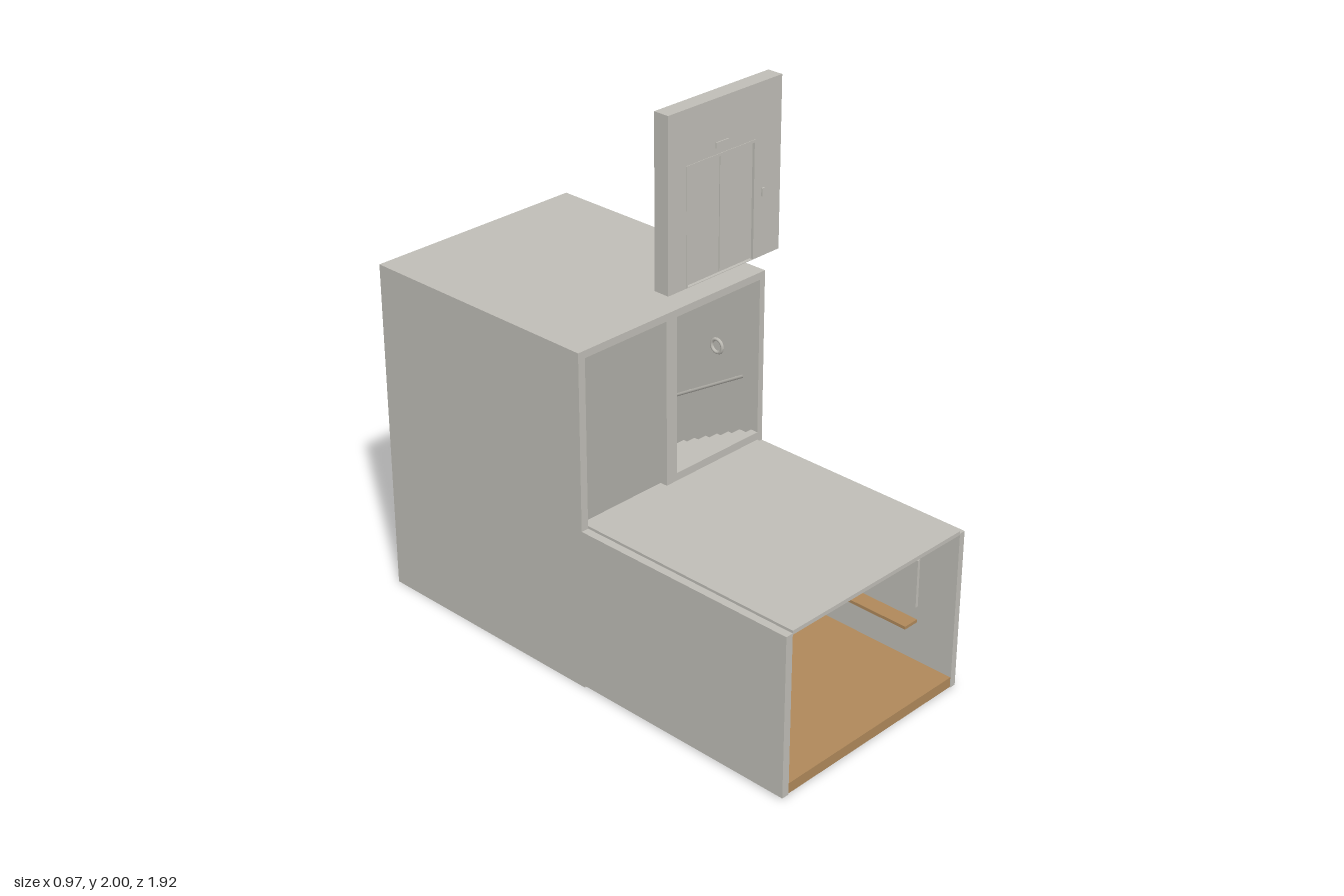
import * as THREE from 'three';

export function createModel() {
  const model = new THREE.Group();
  const plaster = new THREE.MeshStandardMaterial({ color: 0xc0beb7 });
  plaster.name = 'plasterGrey';
  const wood = new THREE.MeshStandardMaterial({ color: 0xb0895b });
  wood.name = 'woodBrown';

  // Box given by its extents along each axis
  const box = (name, [x0, x1], [y0, y1], [z0, z1], mat = plaster, parent = model) => {
    const m = new THREE.Mesh(new THREE.BoxGeometry(x1 - x0, y1 - y0, z1 - z0), mat);
    m.position.set((x0 + x1) / 2, (y0 + y1) / 2, (z0 + z1) / 2);
    m.name = name;
    parent.add(m);
    return m;
  };
  const rect = (P, [x0, x1], [y0, y1]) => {
    const p = new P();
    p.moveTo(x0, y0);
    p.lineTo(x1, y0);
    p.lineTo(x1, y1);
    p.lineTo(x0, y1);
    p.closePath();
    return p;
  };
  // Upright slab with rectangular openings
  const pierced = (name, xs, ys, [z0, z1], holes) => {
    const s = rect(THREE.Shape, xs, ys);
    holes.forEach(([hx, hy]) => s.holes.push(rect(THREE.Path, hx, hy)));
    const m = new THREE.Mesh(new THREE.ExtrudeGeometry(s, { depth: z1 - z0, bevelEnabled: false }), plaster);
    m.position.z = z0;
    m.name = name;
    model.add(m);
  };

  const inner = [-0.46, 0.385];
  const sides = [['right', [-0.49, -0.46]], ['left', [0.385, 0.41]]];

  // Side walls of the low hall and the tall stairwell
  sides.forEach(([side, xs]) => {
    box(side + 'HallWall', xs, [0.008, 0.63], [0.04, 0.96]);
    box(side + 'TowerWall', xs, [0, 1.27], [-0.93, 0.01]);
  });
  box('hallFloor', inner, [0.01, 0.05], [0.035, 0.958], wood);
  box('hallRoof', inner, [0.625, 0.64], [0.04, 0.96]);
  box('ceilingLamp', [-0.37, -0.26], [0.619, 0.625], [0.4, 0.6]);
  box('towerBackWall', [-0.49, 0.41], [0, 1.27], [-0.96, -0.93]);
  box('towerRoof', [-0.49, 0.41], [1.27, 1.3], [-0.96, 0.01]);
  pierced('towerFrontWall', [-0.49, 0.41], [0, 1.3], [0.01, 0.04], [
    [[-0.46, -0.08], [0.012, 0.625]],
    [[-0.46, -0.08], [0.64, 1.272]],
    [[-0.03, 0.385], [0.67, 1.272]],
  ]);
  box('stairPartition', [-0.08, -0.03], [0.01, 1.27], [-0.54, 0.01]);

  // Two stair flights joined by a landing
  const stairs = new THREE.Group();
  stairs.name = 'stairs';
  model.add(stairs);
  for (let i = 0; i < 10; i++) {
    const y = 0.05 + 0.03 * i;
    const z = 0.035 - 0.0585 * i;
    box('lowerStep', [-0.46, -0.08], [y, y + 0.03], [z - 0.0585, z], plaster, stairs);
    const w = -0.55 + 0.056 * i;
    box('upperStep', [-0.03, 0.385], [y + 0.3, y + 0.33], [w, w + 0.056], plaster, stairs);
  }
  box('landing', inner, [0.32, 0.35], [-0.93, -0.55], plaster, stairs);

  // Handrail with wall brackets and a wall ring above each flight
  const handrail = (name, x, wallX, y0, z0, y1, z1, ringY, ringZ) => {
    const g = new THREE.Group();
    g.name = name;
    const a = new THREE.Vector3(x, y0, z0);
    const b = new THREE.Vector3(x, y1, z1);
    const bar = new THREE.Mesh(new THREE.TubeGeometry(new THREE.LineCurve3(a, b), 1, 0.006, 8), plaster);
    bar.name = 'railBar';
    g.add(bar);
    [0.08, 0.5, 0.92].forEach((t) => {
      const p = a.clone().lerp(b, t);
      box('railBracket', [Math.min(x, wallX), Math.max(x, wallX)], [p.y - 0.004, p.y + 0.004],
        [p.z - 0.004, p.z + 0.004], plaster, g);
    });
    const ring = new THREE.Mesh(new THREE.TorusGeometry(0.026, 0.007, 6, 16), plaster);
    ring.rotation.y = Math.PI / 2;
    ring.position.set(x, ringY, ringZ);
    ring.name = 'wallRing';
    g.add(ring);
    model.add(g);
  };
  handrail('lowerHandrail', -0.448, -0.46, 0.24, 0.0, 0.56, -0.58, 0.555, -0.15);
  handrail('upperHandrail', 0.373, 0.385, 0.56, -0.56, 0.88, -0.02, 0.955, -0.15);

  // Wall bench in the hall
  box('benchSeat', [0.32, 0.385], [0.205, 0.217], [0.4, 0.8], wood);
  box('benchBack', [0.373, 0.385], [0.27, 0.46], [0.4, 0.8]);

  // Separate lift front with a pair of sliding doors
  pierced('liftWall', [-0.07, 0.48], [1.36, 2], [-0.025, 0.038], [[[0.02, 0.35], [1.362, 1.8]]]);
  box('rightLiftDoor', [0.02, 0.183], [1.365, 1.795], [0.012, 0.03]);
  box('leftLiftDoor', [0.187, 0.35], [1.365, 1.795], [0.012, 0.03]);
  box('doorHeader', [0.02, 0.35], [1.792, 1.802], [0.012, 0.04]);
  [[0.016, 0.022], [0.346, 0.352]].forEach((xs) => box('doorJamb', xs, [1.362, 1.8], [0.012, 0.04]));
  box('floorIndicator', [0.155, 0.215], [1.825, 1.845], [0.038, 0.042]);
  box('callButton', [0.385, 0.4], [1.585, 1.615], [0.038, 0.043]);
  return model;
}
